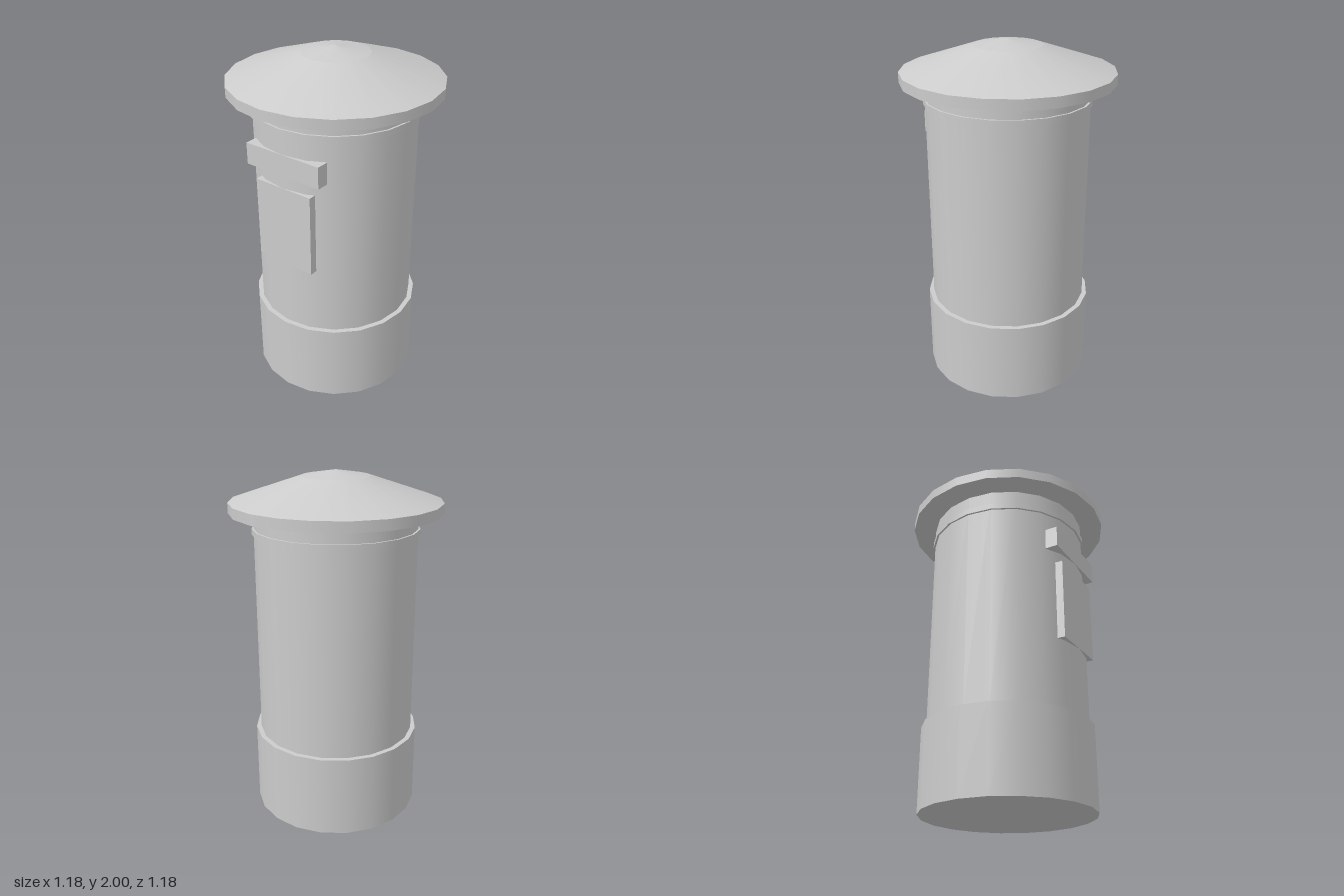
import * as THREE from 'three';

const SIDES = 20;
const material = new THREE.MeshStandardMaterial({ color: 0xcccccc });

export function createModel() {
  const group = new THREE.Group();

  const add = (name, geometry, y, z = 0) => {
    const mesh = new THREE.Mesh(geometry, material);
    mesh.name = name;
    mesh.position.set(0, y, z);
    group.add(mesh);
  };

  // Round section between two heights, smooth around its side
  const drum = (name, rBottom, rTop, y0, y1, open = false) =>
    add(name, new THREE.CylinderGeometry(rTop, rBottom, y1 - y0, SIDES, 1, open), (y0 + y1) / 2);

  // Front plate given by its width, height range and depth range
  const plate = (name, width, y0, y1, z0, z1) =>
    add(name, new THREE.BoxGeometry(width, y1 - y0, z1 - z0), (y0 + y1) / 2, (z0 + z1) / 2);

  // Pillar
  drum('base', 0.485, 0.485, 0, 0.478);
  drum('body', 0.457, 0.457, 0.478, 1.775, true);
  drum('neckRing', 0.468, 0.468, 1.655, 1.69);

  // Roof: rim, sloping cone and shallow crown
  drum('roofRim', 0.592, 0.592, 1.775, 1.833);
  drum('roofSlope', 0.592, 0.19, 1.833, 1.968, true);
  drum('roofCrown', 0.19, 0, 1.968, 2, true);

  // Letter slot hood and collection door
  plate('letterSlot', 0.482, 1.422, 1.545, 0.386, 0.458);
  plate('door', 0.366, 0.877, 1.35, 0.414, 0.458);

  return group;
}
